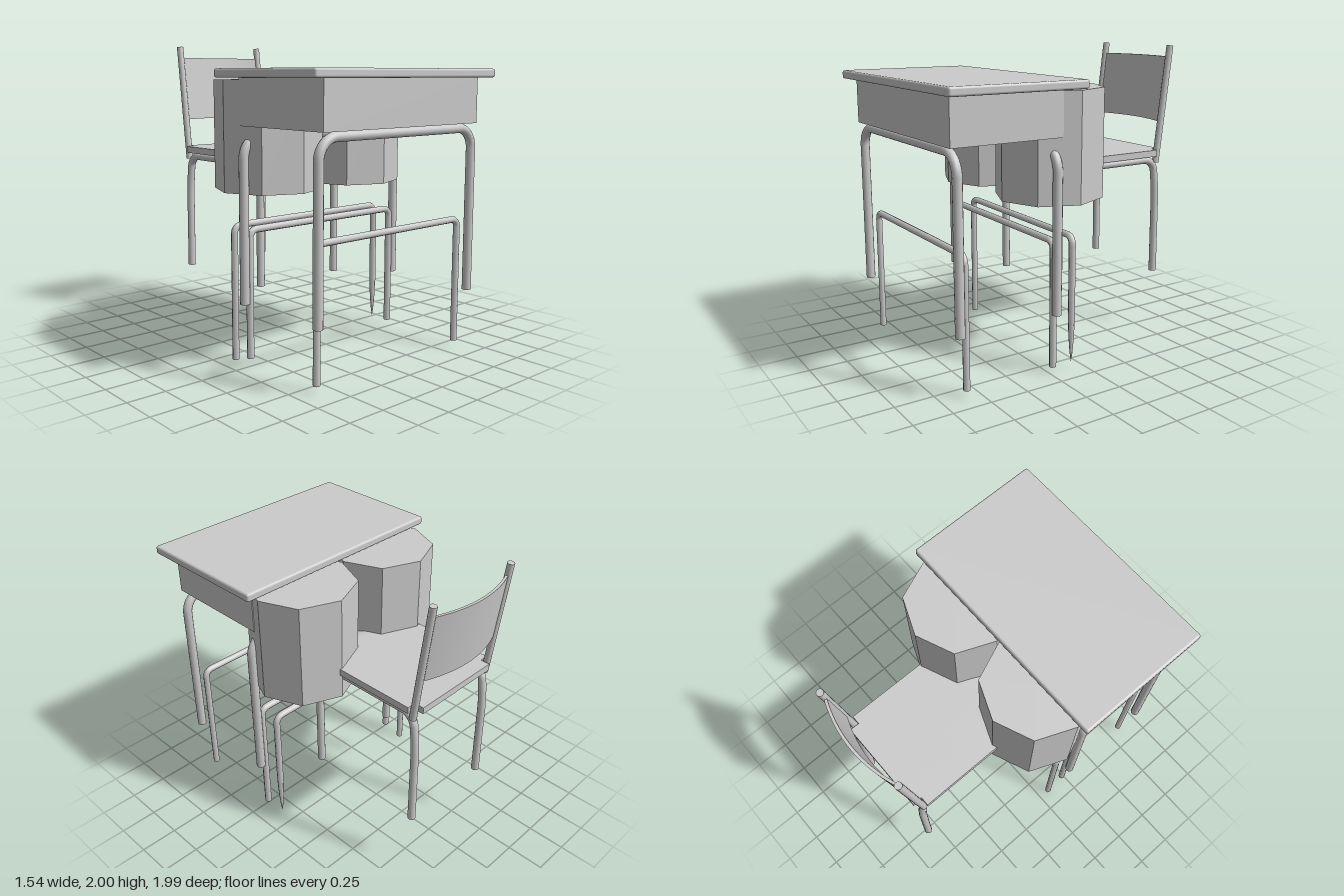
import * as THREE from 'three';
import { mergeGeometries } from 'three/addons/utils/BufferGeometryUtils.js';
import { RoundedBoxGeometry } from 'three/addons/geometries/RoundedBoxGeometry.js';

const smooth = new THREE.MeshStandardMaterial({ color: 0xcccccc });
const faceted = new THREE.MeshStandardMaterial({ color: 0xcccccc, flatShading: true });
const V = (x, y, z) => new THREE.Vector3(x, y, z);

function add(parent, name, geometry, x = 0, y = 0, z = 0, material = smooth) {
  const mesh = new THREE.Mesh(geometry, material);
  mesh.name = name;
  mesh.position.set(x, y, z);
  parent.add(mesh);
  return mesh;
}

// Capped tube along a polyline whose inner corners are rounded by `bend`
function pipe(points, radius, bend, sides = 14) {
  const path = new THREE.CurvePath();
  let from = points[0];
  for (let i = 1; i < points.length - 1; i++) {
    const p = points[i];
    const a = p.clone().add(points[i - 1].clone().sub(p).setLength(bend));
    const b = p.clone().add(points[i + 1].clone().sub(p).setLength(bend));
    const k = 0.45;
    path.add(new THREE.LineCurve3(from, a));
    path.add(new THREE.CubicBezierCurve3(a, b.clone().lerp(b, 0).copy(a).lerp(p, 1 - k), b.clone().lerp(p, 1 - k), b));
    from = b;
  }
  const last = points[points.length - 1];
  path.add(new THREE.LineCurve3(from, last));
  const parts = [new THREE.TubeGeometry(path, points.length > 2 ? 150 : 2, radius, sides, false)];
  const ends = [[points[0], points[1]], [last, points[points.length - 2]]];
  for (const [end, inner] of ends) {
    const cap = new THREE.CircleGeometry(radius, sides);
    const dir = end.clone().sub(inner).normalize();
    cap.applyQuaternion(new THREE.Quaternion().setFromUnitVectors(V(0, 0, 1), dir));
    cap.translate(end.x, end.y, end.z);
    parts.push(cap);
  }
  return mergeGeometries(parts);
}

// Upside-down U standing across the desk
function hoop(x0, x1, y0, y1, top, z, radius, bend, sides) {
  return pipe([V(x0, y0, z), V(x0, top, z), V(x1, top, z), V(x1, y1, z)], radius, bend, sides);
}

// Move the vertices of a geometry by a rule
function reshape(geometry, rule) {
  const pos = geometry.attributes.position;
  const p = V(0, 0, 0);
  for (let i = 0; i < pos.count; i++) {
    rule(p.fromBufferAttribute(pos, i));
    pos.setXYZ(i, p.x, p.y, p.z);
  }
  geometry.computeVertexNormals();
  return geometry;
}

function createDesk() {
  const desk = new THREE.Group();
  desk.name = 'desk';
  add(desk, 'tabletop', new RoundedBoxGeometry(1.54, 0.055, 0.915, 2, 0.015), 0, 1.81, 0.54);
  add(desk, 'drawerBox', new THREE.BoxGeometry(1.32, 0.29, 0.75), 0, 1.64, 0.565);

  // Upper leg hoops
  add(desk, 'frontLegFrame', hoop(-0.66, 0.66, 0.4, 0.4, 1.465, 0.9, 0.03, 0.13));
  add(desk, 'rearLegFrame', hoop(-0.66, 0.66, 0.4, 0.4, 1.43, 0.23, 0.03, 0.13));

  // Thin lower hoops
  add(desk, 'frontLowerFrame', hoop(-0.615, 0.615, 0.045, 0.045, 0.868, 0.84, 0.022, 0.05, 8));
  add(desk, 'rearLowerFrame', hoop(-0.62, 0.62, 0.045, 0.045, 0.86, 0.23, 0.023, 0.05, 8));
  add(desk, 'backLowerFrame', hoop(-0.628, 0.615, 0, 0.32, 0.868, 0.085, 0.022, 0.05, 8));

  // One back leg runs out to a point
  const taper = [[0, 0.04], [0.009, 0.1], [0.017, 0.2], [0.022, 0.32]];
  add(desk, 'taperedLegEnd', new THREE.LatheGeometry(taper.map(([r, y]) => new THREE.Vector2(r, y)), 8), 0.615, 0, 0.085);
  return desk;
}

function createChair() {
  const chair = new THREE.Group();
  chair.name = 'chair';
  chair.position.x = -0.01;

  // Seat with a rolled front edge and a narrower tongue between the back posts
  const seat = reshape(new THREE.BoxGeometry(0.75, 0.045, 0.85, 1, 1, 40).translate(0, 1.267, -0.385), (p) => {
    const t = Math.min(1, Math.max(0, (p.z + 0.09) / 0.13));
    p.y -= 0.065 * (1 - Math.sqrt(1 - t * t));
  });
  add(chair, 'seat', seat);
  add(chair, 'seatTongue', new THREE.BoxGeometry(0.63, 0.045, 0.065), 0, 1.267, -0.8425);

  // Curved backrest leaning backwards
  const backrest = reshape(new THREE.BoxGeometry(0.68, 0.44, 0.018, 24, 1, 1).translate(0, 1.7, 0), (p) => {
    const u = p.x / 0.34;
    p.z += -0.925 + 0.07 * u * u - 0.125 * (p.y - 1.48);
  });
  add(chair, 'backrest', backrest);

  for (const [side, s] of [['left', 1], ['right', -1]]) {
    const x = 0.33 * s;
    // Front leg, seat rail and rear leg in one bent tube
    const frame = pipe([V(x, 0.41, -0.02), V(x, 1.22, -0.02), V(x, 1.22, -0.815), V(x, 1.0, -0.842), V(x, 0.41, -0.845)], 0.026, 0.08);
    add(chair, side + 'SideFrame', frame);
    add(chair, side + 'BackPost', pipe([V(0.345 * s, 1.2, -0.825), V(0.345 * s, 1.995, -0.922)], 0.023, 0));
  }
  return chair;
}

export function createModel() {
  const model = new THREE.Group();
  model.name = 'deskAndChair';
  model.add(createDesk(), createChair());

  // Two eight-sided blocks between desk and chair
  for (const [side, x] of [['left', 0.352], ['right', -0.354]]) {
    add(model, side + 'OctagonalBlock', new THREE.CylinderGeometry(0.346, 0.346, 0.69, 8), x, 1.425, 0.085, faceted);
  }
  return model;
}
